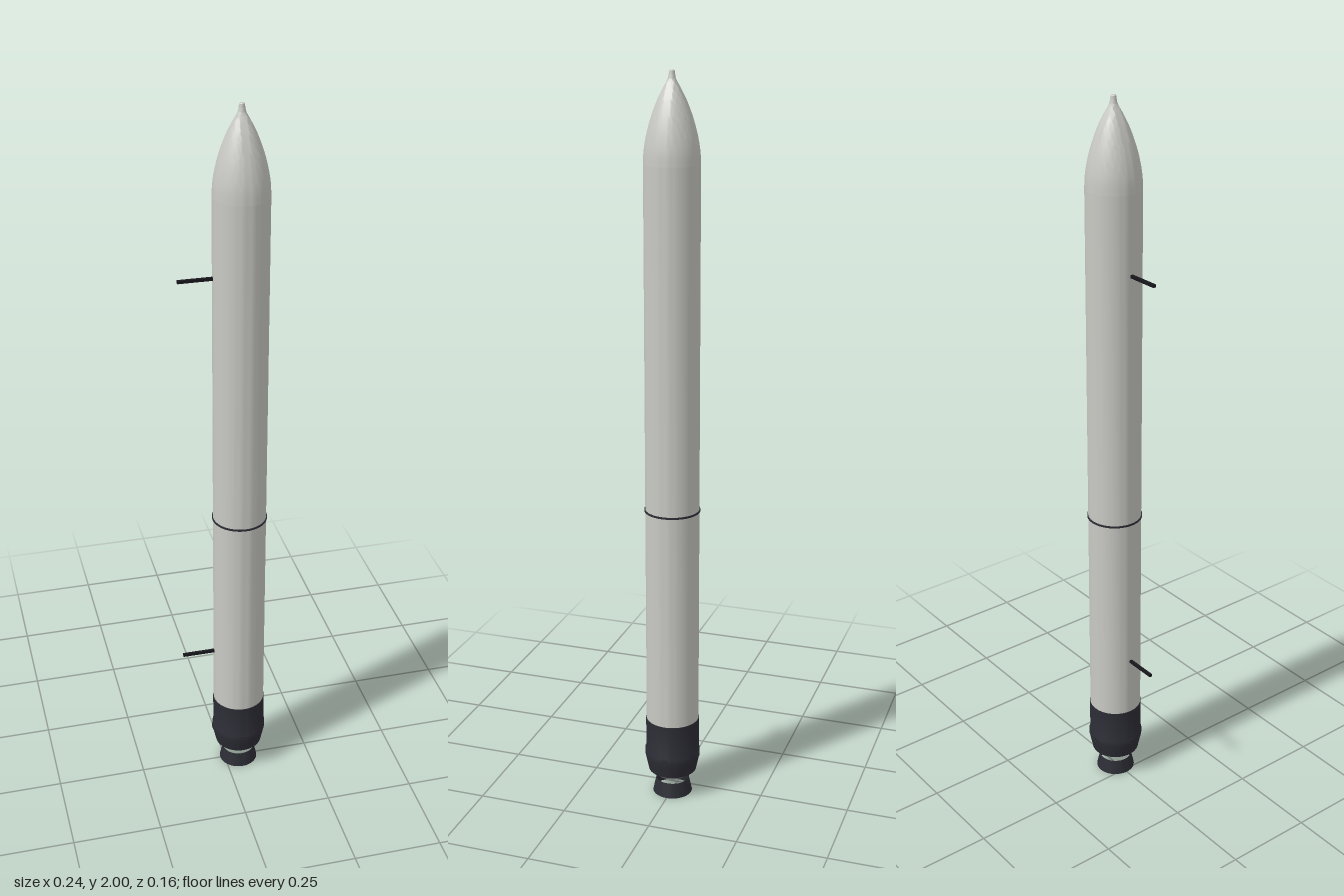
import * as THREE from 'three';
import { toCreasedNormals } from 'three/addons/utils/BufferGeometryUtils.js';

const AXIS_X = 0.042;

export function createModel() {
  const group = new THREE.Group();
  const material = (name, color, side = THREE.FrontSide) => {
    const m = new THREE.MeshStandardMaterial({ color, side });
    m.name = name;
    return m;
  };
  const paleGrey = material('pale grey', 0xc9c9c4);
  const charcoal = material('charcoal', 0x2c2c35, THREE.DoubleSide);
  const metal = material('engine grey', 0x6c6e70, THREE.DoubleSide);
  const black = material('black', 0x17171c);

  // Revolves [radius, height] pairs, listed from bottom to top
  const turned = (name, profile, mat) => {
    const points = profile.map(([r, y]) => new THREE.Vector2(r, y));
    const mesh = new THREE.Mesh(toCreasedNormals(new THREE.LatheGeometry(points, 64), 0.6), mat);
    mesh.name = name;
    mesh.position.x = AXIS_X;
    group.add(mesh);
  };

  // Two body stages and the joint between them
  turned('lowerStage', [[0, 0.2], [0.073, 0.2], [0.073, 0.85]], paleGrey);
  turned('upperStage', [[0.073, 0.85], [0.073, 1.77]], paleGrey);
  turned('stageJoint', [[0.072, 0.848], [0.0755, 0.848], [0.0755, 0.853], [0.072, 0.853]], charcoal);

  // Pointed nose with a small blunt tip
  const ogive = new THREE.SplineCurve([
    [0.073, 1.77], [0.071, 1.805], [0.064, 1.845], [0.053, 1.885],
    [0.038, 1.925], [0.022, 1.957], [0.011, 1.977], [0.008, 1.99],
  ].map(([r, y]) => new THREE.Vector2(r, y))).getPoints(28).map((p) => [p.x, p.y]);
  turned('noseCone', [...ogive, [0.007, 1.998], [0.005, 2], [0, 2]], paleGrey);

  // Engine skirt, tucked in at the bottom
  turned('engineSkirt', [
    [0, 0.075], [0.062, 0.072], [0.067, 0.072], [0.072, 0.095], [0.077, 0.118],
    [0.077, 0.132], [0.0745, 0.138], [0.0745, 0.232], [0.072, 0.232],
  ], charcoal);

  // Raised fittings around the skirt
  for (let i = 0; i < 4; i++) {
    const a = (i * Math.PI) / 2;
    const fitting = new THREE.Mesh(new THREE.BoxGeometry(0.006, 0.014, 0.014), charcoal);
    fitting.name = 'skirtFitting';
    fitting.position.set(AXIS_X + 0.0755 * Math.cos(a), 0.125, 0.0755 * Math.sin(a));
    fitting.rotation.y = -a;
    group.add(fitting);
  }

  // Engine mount ring and the separate open nozzle below it
  turned('engineMount', [[0.036, 0.072], [0.036, 0.056], [0.046, 0.056], [0.048, 0.074]], metal);
  turned('nozzle', [[0.055, 0], [0.052, 0.014], [0.048, 0.032], [0.046, 0.042]], charcoal);

  // Side support arms
  for (const [name, y] of [['lowerArm', 0.405], ['upperArm', 1.56]]) {
    const arm = new THREE.Mesh(new THREE.BoxGeometry(0.096, 0.008, 0.008), black);
    arm.name = name;
    arm.position.set(-0.074, y, 0);
    group.add(arm);
  }
  return group;
}
